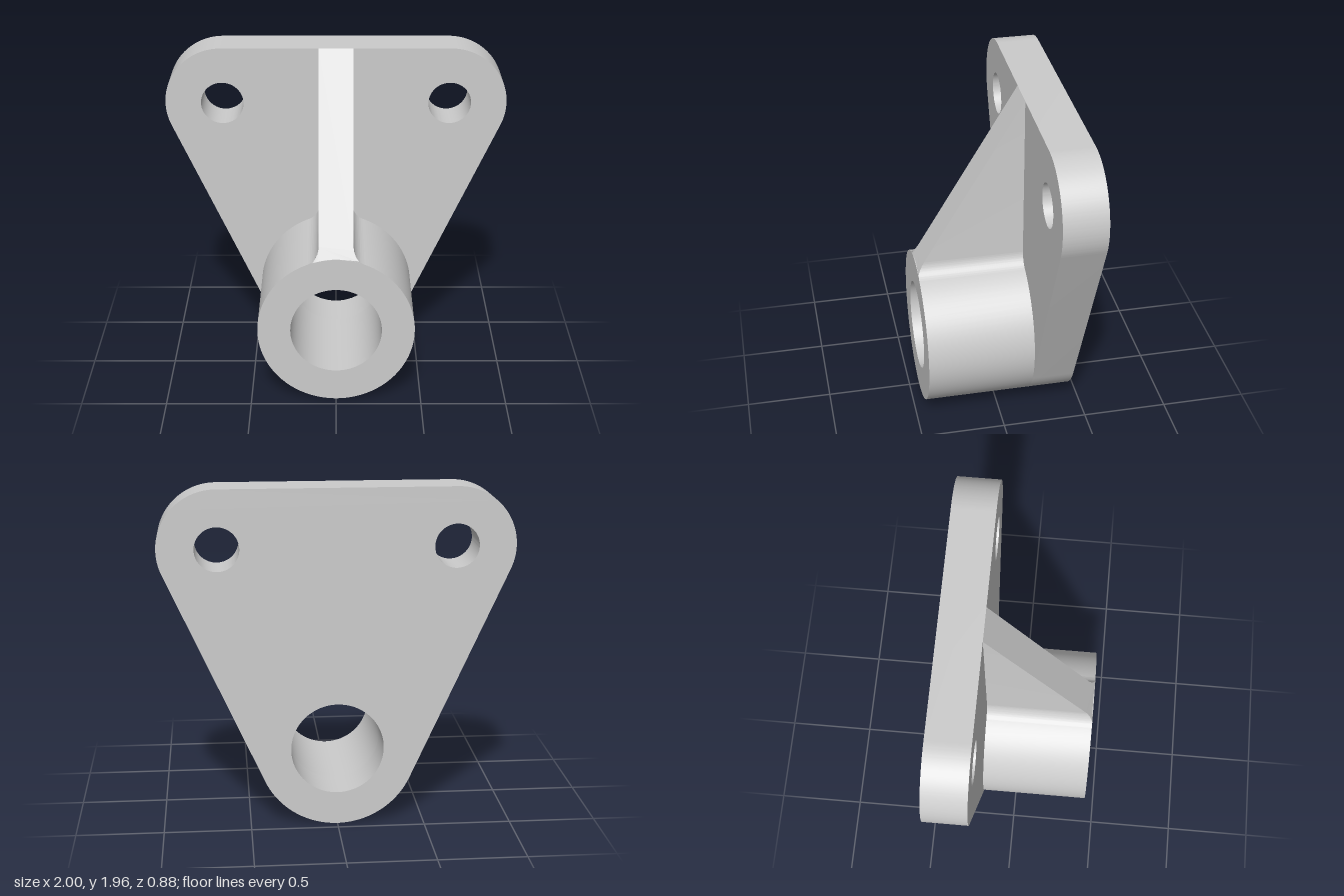
import * as THREE from 'three';
import { toCreasedNormals } from 'three/addons/utils/BufferGeometryUtils.js';

const BACK = -0.44, FACE = -0.19, FRONT = 0.44; // z of plate back, plate face, boss front
const TOP = 1.963;
const BOSS = { y: 0.457, r: 0.457, bore: 0.266 };
const CORNER = { x: 0.667, y: 1.63, r: 0.333, hole: 0.125 };
const RIB = { half: 0.1, fillet: 0.1, startY: 0.905 };

const material = new THREE.MeshStandardMaterial({ color: 0xcccccc });

function hole(x, y, r) {
  return new THREE.Path().absarc(x, y, r, 0, Math.PI * 2, true);
}

function extrude(shape, z0, z1) {
  const geometry = new THREE.ExtrudeGeometry(shape, {
    depth: z1 - z0, bevelEnabled: false, curveSegments: 40,
  });
  return geometry.translate(0, 0, z0);
}

function part(name, geometry) {
  const mesh = new THREE.Mesh(toCreasedNormals(geometry, 0.5), material);
  mesh.name = name;
  return mesh;
}

// Rounded triangle: three arcs joined by their common tangents
function plateGeometry() {
  const dx = CORNER.x, dy = CORNER.y - BOSS.y;
  const a = Math.atan2(dy, dx) - Math.acos((BOSS.r - CORNER.r) / Math.hypot(dx, dy));
  const shape = new THREE.Shape();
  shape.absarc(0, BOSS.y, BOSS.r, -Math.PI - a + Math.PI * 2, a + Math.PI * 2, false);
  shape.absarc(CORNER.x, CORNER.y, CORNER.r, a, Math.PI / 2, false);
  shape.absarc(-CORNER.x, CORNER.y, CORNER.r, Math.PI / 2, Math.PI - a, false);
  shape.holes.push(hole(0, BOSS.y, BOSS.bore));
  for (const s of [-1, 1]) shape.holes.push(hole(s * CORNER.x, CORNER.y, CORNER.hole));
  return extrude(shape, BACK, FACE);
}

function bossGeometry() {
  const shape = new THREE.Shape().absarc(0, BOSS.y, BOSS.r, 0, Math.PI * 2, false);
  shape.holes.push(hole(0, BOSS.y, BOSS.bore));
  return extrude(shape, FACE, FRONT);
}

// Web with fillets onto the boss, its front sloped back to the top of the plate
function ribGeometry() {
  const { half, fillet, startY } = RIB;
  const cx = half + fillet;
  const rise = Math.sqrt((BOSS.r + fillet) ** 2 - cx * cx);
  const t = Math.atan2(rise, cx);
  const shape = new THREE.Shape();
  shape.absarc(0, BOSS.y, BOSS.r, Math.PI - t, t, true);
  shape.absarc(cx, BOSS.y + rise, fillet, Math.PI + t, Math.PI, true);
  shape.lineTo(half, TOP);
  shape.lineTo(-half, TOP);
  shape.absarc(-cx, BOSS.y + rise, fillet, 0, -t, true);

  const geometry = extrude(shape, FACE, FRONT);
  const p = geometry.attributes.position;
  for (let i = 0; i < p.count; i++) {
    if (p.getZ(i) < 0) continue;
    const k = Math.max(0, (p.getY(i) - startY) / (TOP - startY));
    p.setZ(i, FRONT + (FACE - FRONT) * k);
  }
  return geometry;
}

export function createModel() {
  const group = new THREE.Group();
  group.name = 'bearingBracket';
  group.add(
    part('mountingPlate', plateGeometry()),
    part('bearingBoss', bossGeometry()),
    part('supportRib', ribGeometry()),
  );
  return group;
}
